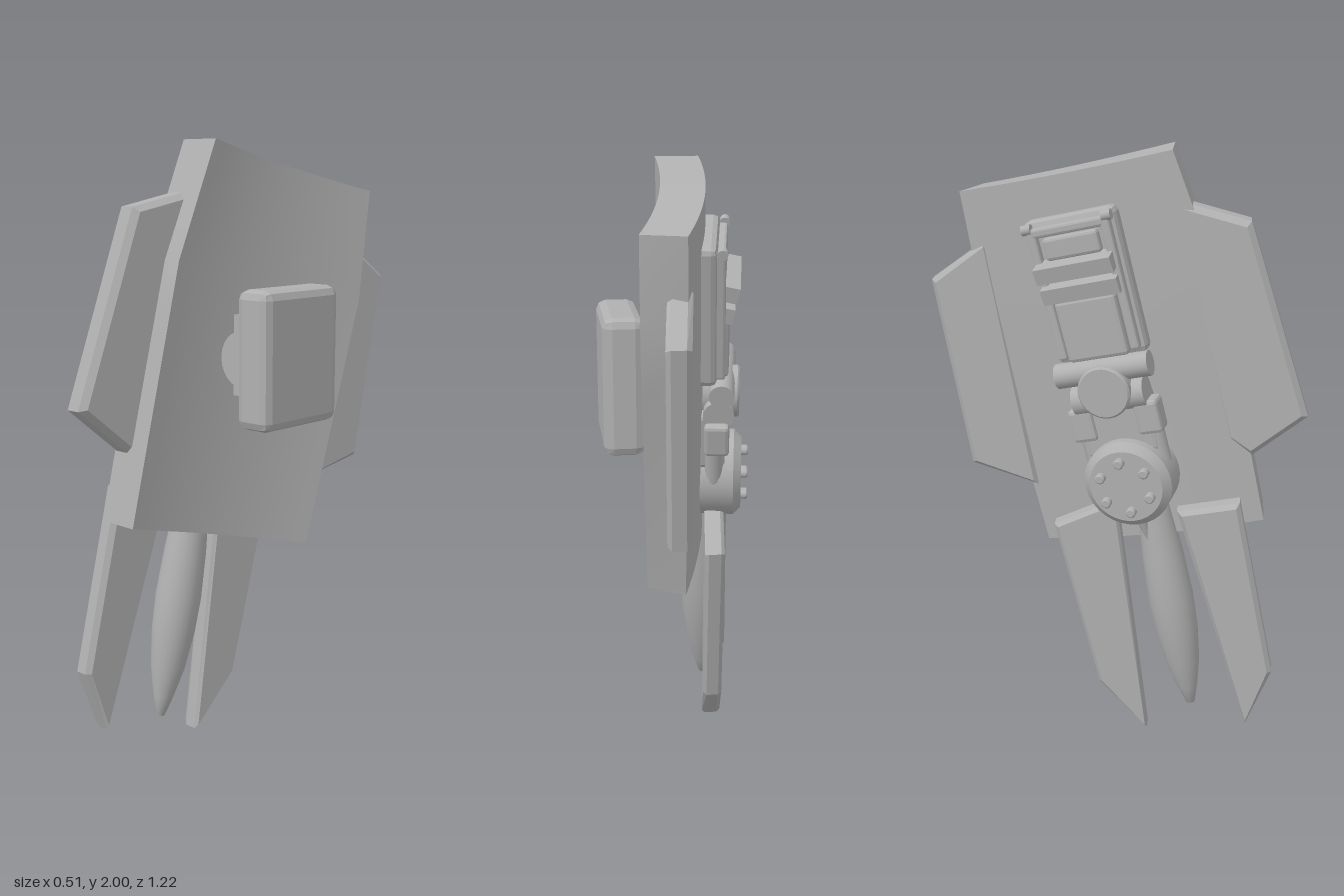
import * as THREE from 'three';
import { mergeGeometries } from 'three/addons/utils/BufferGeometryUtils.js';
import { RoundedBoxGeometry } from 'three/addons/geometries/RoundedBoxGeometry.js';

const V = (x, y, z) => new THREE.Vector3(x, y, z);
const grey = new THREE.MeshStandardMaterial({ color: 0xb0b0b0 });
grey.name = 'grey';

function add(parent, name, geometry, x = 0, y = 0, z = 0) {
  const mesh = new THREE.Mesh(geometry, grey);
  mesh.name = name;
  mesh.position.set(x, y, z);
  parent.add(mesh);
  return mesh;
}

// Box with chamfered edges, flat shaded
function chamferBox(w, h, d, c) {
  let g = new RoundedBoxGeometry(w, h, d, 1, c);
  if (g.index) g = g.toNonIndexed();
  g.computeVertexNormals();
  return g;
}

// Smooth grid over fn(a, b), facing da x db
function grid(fn, na, nb) {
  const pos = [], index = [];
  for (let j = 0; j <= nb; j++)
    for (let i = 0; i <= na; i++) pos.push(...fn(i / na, j / nb).toArray());
  for (let j = 0; j < nb; j++)
    for (let i = 0; i < na; i++) {
      const p = j * (na + 1) + i, q = p + na + 1;
      index.push(p, p + 1, q, p + 1, q + 1, q);
    }
  const g = new THREE.BufferGeometry();
  g.setAttribute('position', new THREE.Float32BufferAttribute(pos, 3));
  g.setIndex(index);
  g.computeVertexNormals();
  return g;
}

// Curved slab: rows of [front outer, front inner, back outer, back inner]
function slabGeometry() {
  const rows = [
    [V(0.05, 2, 0.17), V(-0.09, 2, 0.17), V(0.16, 1.84, -0.45), V(0.03, 1.84, -0.5)],
    [V(0.03, 1.64, 0.31), V(-0.11, 1.64, 0.31), V(0.155, 1.48, -0.41), V(0.02, 1.48, -0.44)],
    [V(0, 0.83, 0.49), V(-0.14, 0.83, 0.49), V(0.12, 0.66, -0.19), V(0, 0.65, -0.24)],
  ];
  const S = (u, v, t) => {
    const k = v < 0.3 ? 0 : 1, f = k ? (v - 0.3) / 0.7 : v / 0.3;
    const c = [0, 1, 2, 3].map(i => rows[k][i].clone().lerp(rows[k + 1][i], f));
    const p = c[0].lerp(c[1], t).lerp(c[2].lerp(c[3], t), u);
    p.x -= 0.14 * u * (1 - u);
    return p;
  };
  return mergeGeometries([
    grid((a, b) => S(b, a, 0), 10, 16),
    grid((a, b) => S(a, b, 1), 16, 10),
    grid((a, b) => S(a, 0, b), 16, 1),
    grid((a, b) => S(b, 1, a), 1, 16),
    grid((a, b) => S(0, b, a), 1, 10),
    grid((a, b) => S(1, a, b), 10, 1),
  ]);
}

// Bevelled plate from a (z, y) outline; its centre plane is x = x0 + kz*z + ky*y
function plate(outline, thick, bevel, x0, kz, ky) {
  const shape = new THREE.Shape(outline.map(p => new THREE.Vector2(...p)));
  const g = new THREE.ExtrudeGeometry(shape, {
    depth: thick - 2 * bevel, bevelEnabled: true, bevelSegments: 1,
    bevelThickness: bevel, bevelSize: bevel, bevelOffset: -bevel,
  });
  g.translate(0, 0, bevel - thick / 2);
  g.rotateY(-Math.PI / 2);
  const p = g.attributes.position;
  for (let i = 0; i < p.count; i++)
    p.setX(i, p.getX(i) + x0 + kz * p.getZ(i) + ky * p.getY(i));
  g.computeVertexNormals();
  return g;
}

const discGeometry = (r, h, bevel) => new THREE.LatheGeometry(
  [[0, 0], [r, 0], [r, 0], [r, h - bevel], [r, h - bevel], [r - bevel, h], [r - bevel, h], [0, h]]
    .map(p => new THREE.Vector2(...p)), 32).rotateX(Math.PI / 2);
const roller = (r, len) => new THREE.CylinderGeometry(r, r, len, 24).rotateZ(Math.PI / 2);

export function createModel() {
  const model = new THREE.Group();
  model.name = 'armGuard';

  add(model, 'curvedSlab', slabGeometry());

  // Side wings
  add(model, 'frontWing', plate(
    [[0.17, 1.85], [0.23, 1.84], [0.41, 1.8], [0.61, 1.2], [0.44, 1.05], [0.36, 1.1]],
    0.085, 0.018, -0.045, -0.15, 0.01));
  add(model, 'backWing', plate(
    [[-0.42, 1.69], [-0.61, 1.55], [-0.5, 0.915], [-0.27, 0.86]],
    0.075, 0.015, -0.022, -0.15, 0));

  // Lower fins
  add(model, 'frontFin', plate(
    [[0.21, 0.87], [0.41, 0.92], [0.54, 0.31], [0.46, 0.09]],
    0.07, 0.015, -0.165, -0.1, 0.02));
  add(model, 'backFin', plate(
    [[0.01, 0.88], [0.12, 0], [-0.05, 0.17], [-0.2, 0.77]],
    0.065, 0.012, -0.125, -0.12, 0));

  // Spindle between the fins
  const tip = V(-0.13, 0.1, 0.27), axis = V(0.03, 0.85, -0.16);
  const profile = [[0, 0], [0.015, 0], [0.035, 0.07], [0.058, 0.17], [0.073, 0.3],
    [0.077, 0.42], [0.07, 0.58], [0.055, 0.75], [0.05, 0.86], [0, 0.86]];
  const spindle = add(model, 'spindle', new THREE.LatheGeometry(
    profile.map(p => new THREE.Vector2(...p)), 24), tip.x, tip.y, tip.z);
  spindle.quaternion.setFromUnitVectors(V(0, 1, 0), axis.normalize());

  // Pad and its hinge on the left side
  add(model, 'pad', chamferBox(0.13, 0.44, 0.35, 0.03), 0.185, 1.33, -0.015);
  add(model, 'padMount', new THREE.BoxGeometry(0.12, 0.26, 0.2), 0.08, 1.33, -0.02);
  add(model, 'padHinge', new THREE.CylinderGeometry(0.09, 0.09, 0.32, 24).rotateX(Math.PI / 2),
    0.13, 1.33, -0.02);

  // Mechanism on the right side: local x to the front, y up the slab, z outward
  const mech = new THREE.Group();
  mech.name = 'mechanism';
  const up = V(0.05, 1.17, -0.29).normalize();
  const out = V(-0.12, 0.16, 0.66).cross(up).normalize();
  mech.quaternion.setFromRotationMatrix(
    new THREE.Matrix4().makeBasis(up.clone().cross(out), up, out));
  mech.position.set(-0.085, 1.335, 0);
  model.add(mech);

  // Upper frame with raised rails and slats
  add(mech, 'framePlate', chamferBox(0.3, 0.46, 0.08, 0.02), -0.02, 0.26, 0.01);
  for (const s of [-1, 1]) {
    add(mech, 'frameRail', chamferBox(0.03, 0.42, 0.04, 0.008), -0.02 + s * 0.12, 0.26, 0.055);
    add(mech, 'frameKnob', roller(0.016, 0.03), -0.02 + s * 0.13, 0.47, 0.065);
  }
  add(mech, 'frameTopRail', chamferBox(0.24, 0.03, 0.04, 0.008), -0.02, 0.455, 0.055);
  add(mech, 'innerPanel', chamferBox(0.2, 0.2, 0.05, 0.012), -0.02, 0.14, 0.06);
  add(mech, 'upperPanel', chamferBox(0.18, 0.07, 0.04, 0.01), -0.02, 0.4, 0.055);
  [[0.34, 0.1], [0.27, 0.085]].forEach(([y, h]) => {
    const slat = add(mech, 'slat', new THREE.BoxGeometry(0.25, 0.05, h), -0.02, y, h / 2 + 0.015);
    slat.rotation.x = 0.2;
  });

  // Rollers, round cap and blocks
  add(mech, 'upperRoller', roller(0.04, 0.31), -0.02, 0.0, 0.065);
  add(mech, 'lowerRoller', roller(0.05, 0.24), -0.02, -0.09, 0.055);
  add(mech, 'roundCap', discGeometry(0.085, 0.12, 0.006), -0.02, -0.06, 0);
  add(mech, 'linkBlock', chamferBox(0.24, 0.2, 0.09, 0.015), -0.02, -0.19, 0.03);
  for (const s of [-1, 1]) {
    add(mech, 'sideBlock', chamferBox(0.08, 0.11, 0.08, 0.012), -0.02 + s * 0.11, -0.17, 0.05);
    add(mech, 'sidePin', new THREE.CylinderGeometry(0.03, 0.03, 0.12, 16), -0.02 + s * 0.11, -0.28, 0.04);
  }

  // Wheel with a ring of bolts
  add(mech, 'wheel', discGeometry(0.145, 0.15, 0.025), -0.02, -0.375, -0.02);
  for (let i = 0; i < 6; i++) {
    const a = (i + 0.5) * Math.PI / 3;
    add(mech, 'wheelBolt', discGeometry(0.016, 0.03, 0.004),
      -0.02 + 0.085 * Math.cos(a), -0.375 + 0.085 * Math.sin(a), 0.122);
  }
  const tab = add(mech, 'wheelTab', new THREE.ConeGeometry(0.025, 0.1, 12), -0.02, -0.55, 0.06);
  tab.rotation.z = Math.PI;

  return model;
}
